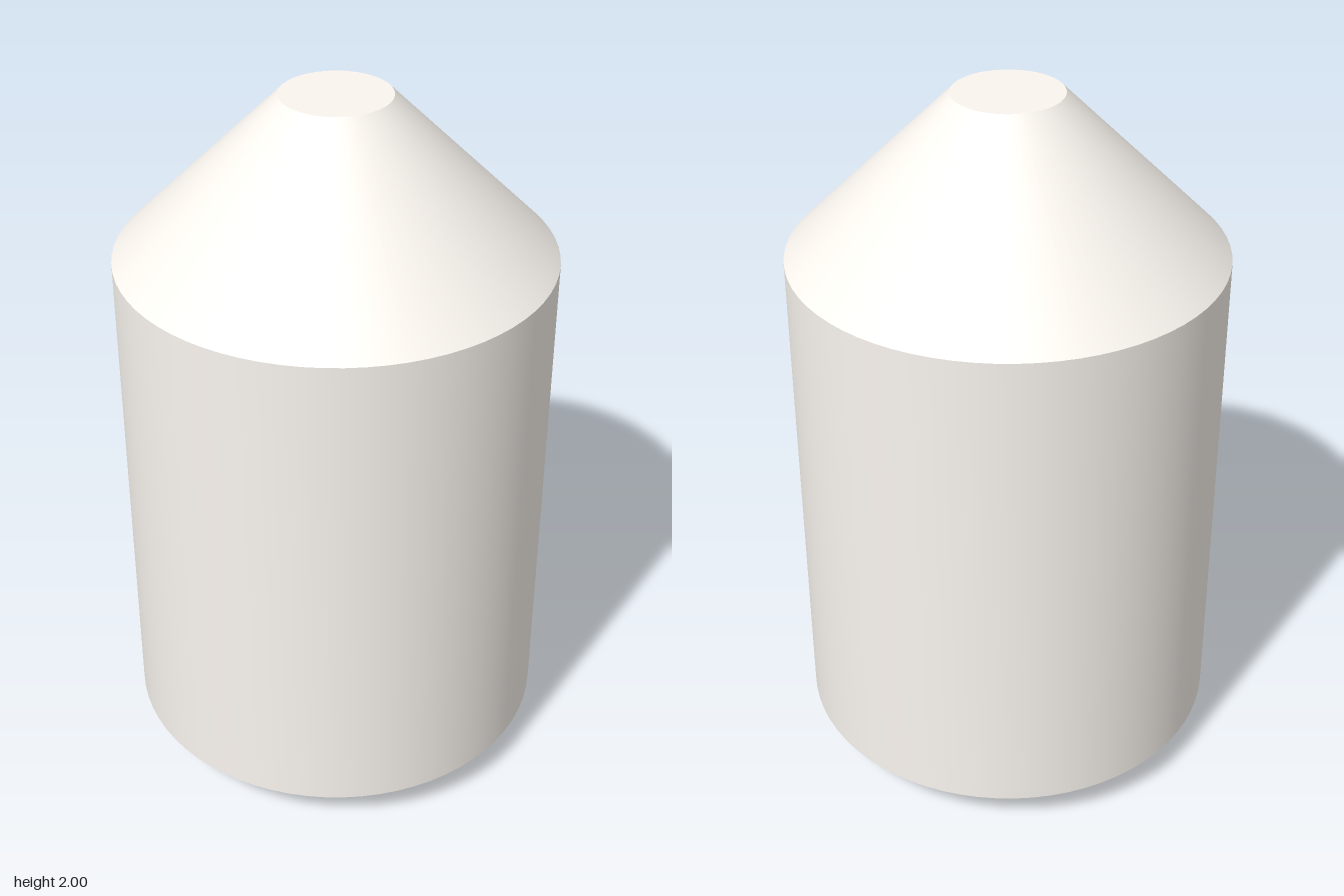
import * as THREE from 'three';
import { toCreasedNormals } from 'three/addons/utils/BufferGeometryUtils.js';

const SEGMENTS = 72;
const RIM = 0.49;                      // radius of the flat bottom face
const SOCKET = 0.6 / Math.sqrt(3);     // corner radius of the hexagonal socket
const DEPTH = 0.7;                     // socket depth

const lathe = (points, segments) => toCreasedNormals(
  new THREE.LatheGeometry(points.map(([r, y]) => new THREE.Vector2(r, y)), segments), Math.PI / 6);

// Points of a regular polygon, first corner on the second axis (+z once laid flat)
const ring = (radius, n) => Array.from({ length: n }, (_, i) => {
  const a = (i / n) * Math.PI * 2;
  return new THREE.Vector2(Math.sin(a) * radius, Math.cos(a) * radius);
});

export function createModel() {
  const group = new THREE.Group();
  group.name = 'setScrew';
  const material = new THREE.MeshStandardMaterial({ color: 0xfaf5ef });
  const add = (name, geometry) => {
    const mesh = new THREE.Mesh(geometry, material);
    mesh.name = name;
    group.add(mesh);
  };

  // Chamfer, cylindrical body, cone and flat tip
  add('body', lathe([[RIM, 0], [0.6, 0.11], [0.6, 1.55], [0.15, 2], [0, 2]], SEGMENTS));

  // Bottom face with the hexagonal opening, facing down
  const face = new THREE.Shape(ring(RIM, SEGMENTS));
  face.holes.push(new THREE.Path(ring(SOCKET, 6)));
  add('bottomFace', new THREE.ShapeGeometry(face).rotateX(Math.PI / 2));

  // Socket floor and walls; the profile runs downward so the faces point inward
  add('hexSocket', lathe([[0, DEPTH], [SOCKET, DEPTH], [SOCKET, 0]], 6));

  return group;
}
